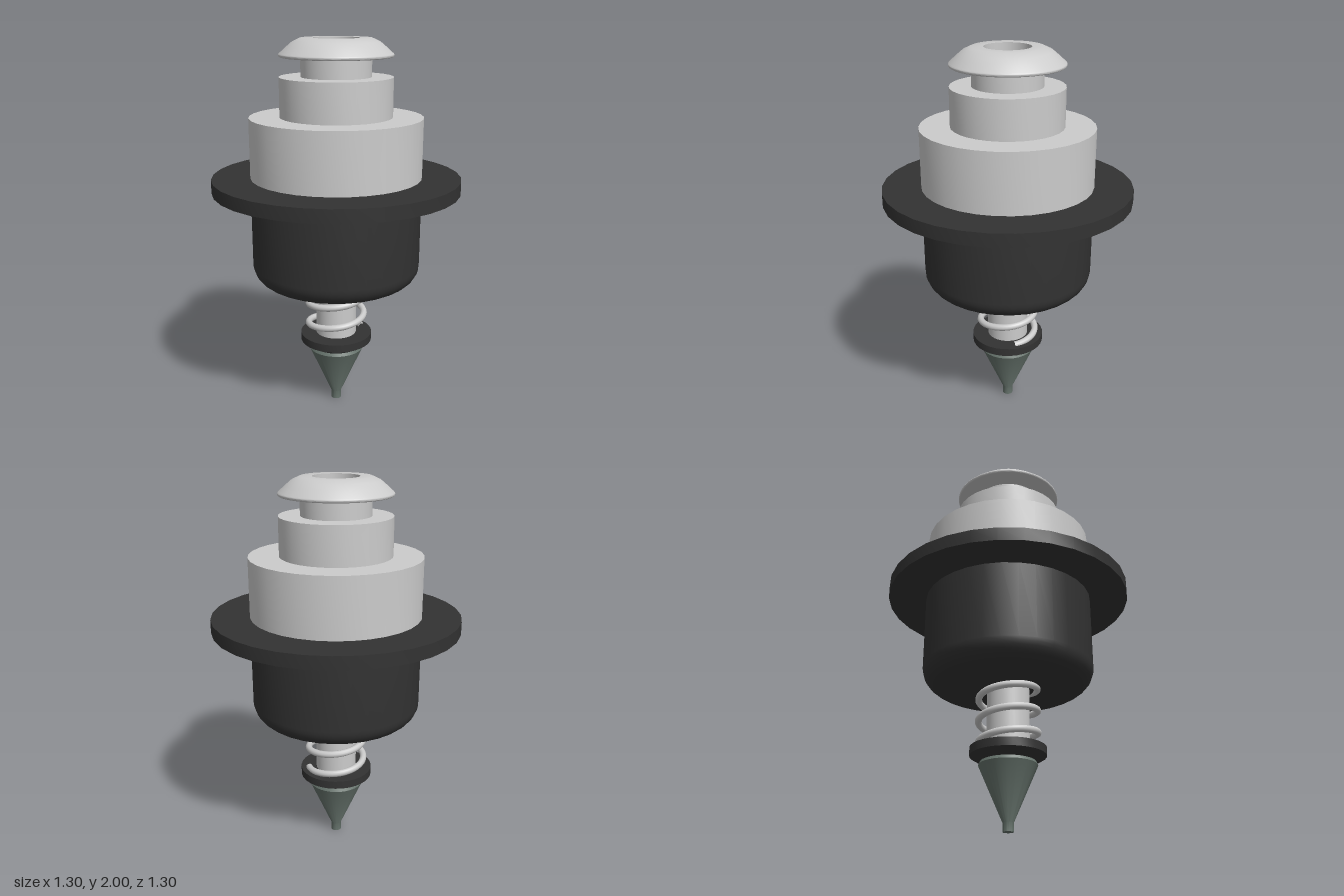
import * as THREE from 'three';
import { toCreasedNormals } from 'three/addons/utils/BufferGeometryUtils.js';

const grey = new THREE.MeshStandardMaterial({ color: 0xcccccc });
const rubber = new THREE.MeshStandardMaterial({ color: 0x333333 });
const tipMetal = new THREE.MeshStandardMaterial({ color: 0x66736c });

// Closed turned part: profile [radius, height] runs from the bottom, outward, up and back in
function turned(name, profile, material, segments = 32) {
  const points = profile.map(([r, y]) => new THREE.Vector2(r, y));
  const mesh = new THREE.Mesh(
    toCreasedNormals(new THREE.LatheGeometry(points, segments), 0.5), material);
  mesh.name = name;
  return mesh;
}

// Points along a rounded corner between two angles
function arc(cx, cy, radius, from, to, steps) {
  return Array.from({ length: steps + 1 }, (_, i) => {
    const a = from + (to - from) * i / steps;
    return [cx + radius * Math.cos(a), cy + radius * Math.sin(a)];
  });
}

// Right-handed coil path
class Helix extends THREE.Curve {
  constructor(radius, bottom, pitch, turns) {
    super();
    Object.assign(this, { radius, bottom, pitch, turns });
  }
  getPoint(t, target = new THREE.Vector3()) {
    const a = t * this.turns * Math.PI * 2;
    return target.set(
      this.radius * Math.cos(a),
      this.bottom + this.pitch * this.turns * t,
      -this.radius * Math.sin(a));
  }
}

export function createModel() {
  const model = new THREE.Group();
  model.name = 'springNozzle';

  // Conical tip with a short straight end
  model.add(turned('nozzleTip', [
    [0, 0], [0.028, 0], [0.028, 0.045], [0.15, 0.325], [0.14, 0.345], [0, 0.345],
  ], tipMetal));

  // Collar carrying the spring
  model.add(turned('springSeat', [
    [0, 0.34], [0.14, 0.34], [0.195, 0.372], [0.195, 0.415], [0, 0.415],
  ], rubber));

  // Sliding shaft and its spring
  model.add(turned('shaft', [[0, 0.41], [0.11, 0.41], [0.11, 0.76], [0, 0.76]], grey));
  const spring = new THREE.Mesh(
    new THREE.TubeGeometry(new Helix(0.152, 0.415, 0.118, 2.85), 140, 0.018, 10), grey);
  spring.name = 'spring';
  model.add(spring);

  // Dark cup with rounded lower edge, and its wide flange
  model.add(turned('cup', [
    [0, 0.73], ...arc(0.347, 0.83, 0.1, -Math.PI / 2, 0, 8), [0.447, 1.24], [0, 1.24],
  ], rubber));
  model.add(turned('flange', [
    [0, 1.23], [0.648, 1.23], [0.648, 1.3], [0, 1.3],
  ], rubber));

  // Stepped upper body
  model.add(turned('upperBody', [
    [0, 1.3], [0.447, 1.3], [0.447, 1.61], [0.29, 1.61], [0.29, 1.81], [0.12, 1.81],
  ], grey));

  // Head: narrow neck, domed rim and a blind bore from the top
  model.add(turned('head', [
    [0.18, 1.8], [0.18, 1.907], [0.28, 1.907],
    ...arc(0.28, 1.917, 0.01, -Math.PI / 2, Math.PI * 0.3, 6),
    [0.25, 1.957], [0.22, 1.982], [0.18, 2],
    [0.118, 2], [0.118, 1.7], [0, 1.7],
  ], grey, 64));

  return model;
}
